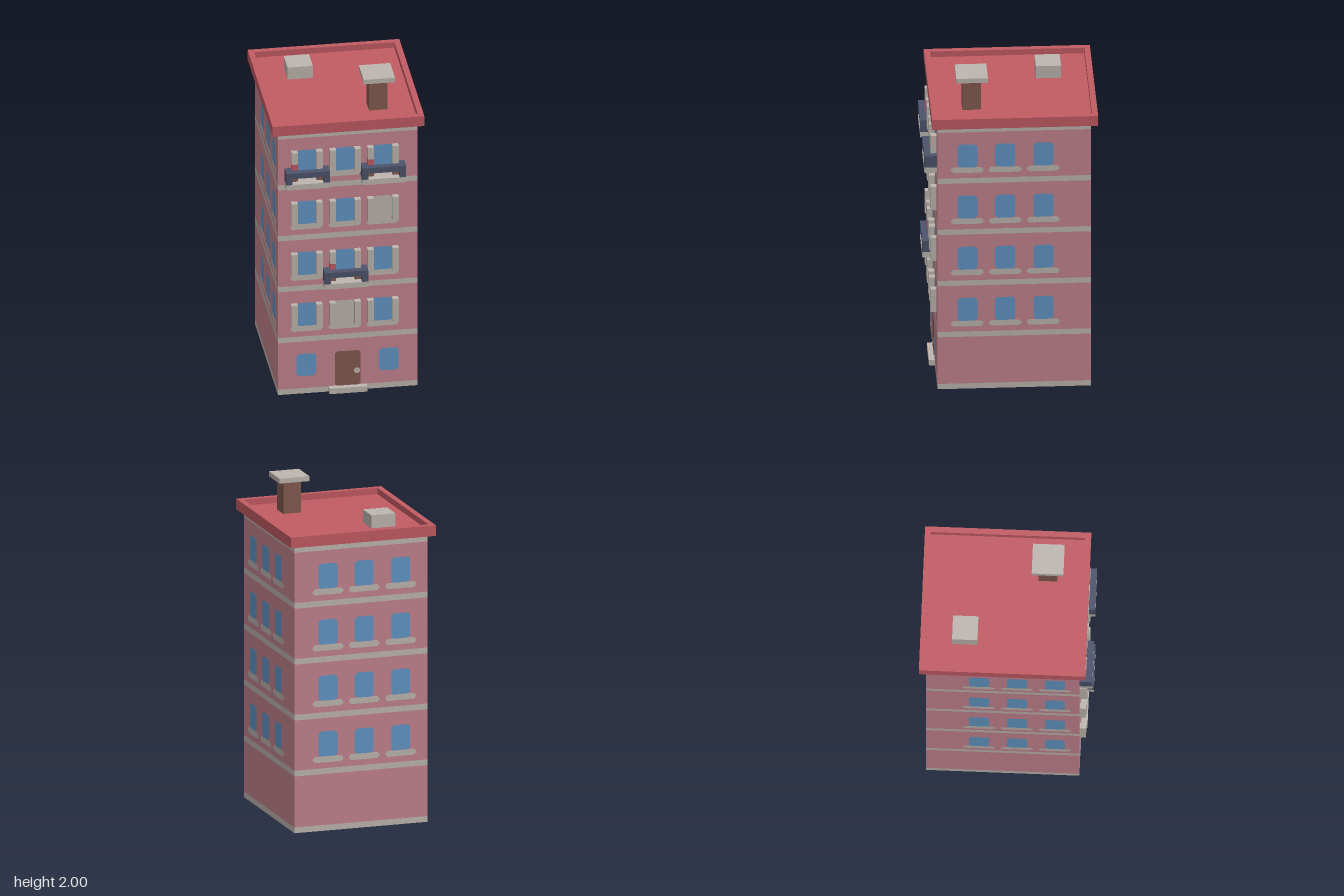
import * as THREE from 'three';

const mat = (name, color) => {
  const m = new THREE.MeshStandardMaterial({ color });
  m.name = name;
  return m;
};

export function createModel() {
  const pink = mat('pinkWall', 0xc4838f), stone = mat('stone', 0xbeb6b0), red = mat('roofRed', 0xc25b63);
  const blue = mat('windowBlue', 0x6296c6), brown = mat('brown', 0x825a4e), navy = mat('railNavy', 0x4c546c);
  const model = new THREE.Group();
  model.name = 'apartmentBuilding';

  // Box from its minimum and maximum corners
  function box(name, material, x0, x1, y0, y1, z0, z1, parent = model) {
    const mesh = new THREE.Mesh(new THREE.BoxGeometry(x1 - x0, y1 - y0, z1 - z0), material);
    mesh.position.set((x0 + x1) / 2, (y0 + y1) / 2, (z0 + z1) / 2);
    mesh.name = name;
    parent.add(mesh);
    return mesh;
  }

  function rectPath(path, x0, x1, y0, y1) {
    path.moveTo(x0, y0);
    path.lineTo(x1, y0);
    path.lineTo(x1, y1);
    path.lineTo(x0, y1);
    path.closePath();
    return path;
  }

  // Flat rectangle with clipped corners, centred on x = 0
  function plate(w, y0, y1, c) {
    const h = w / 2, s = new THREE.Shape();
    s.moveTo(-h + c, y0);
    s.lineTo(h - c, y0);
    s.lineTo(h, y0 + c);
    s.lineTo(h, y1 - c);
    s.lineTo(h - c, y1);
    s.lineTo(-h + c, y1);
    s.lineTo(-h, y1 - c);
    s.lineTo(-h, y0 + c);
    s.closePath();
    return new THREE.ShapeGeometry(s);
  }

  function paint(name, material, geometry, x, z, turn = 0) {
    const mesh = new THREE.Mesh(geometry, material);
    mesh.position.set(x, 0, z);
    mesh.rotation.y = turn;
    mesh.name = name;
    model.add(mesh);
  }

  const X = 0.415, FRONT = 0.435, BACK = -0.47, V = 0.0375, LIFT = 0.003;

  // Walls with flush stone bands between storeys
  const bands = [[0, 0.035], [0.345, 0.38], [0.685, 0.72], [1.025, 1.06], [1.365, 1.4], [1.705, 1.745]];
  bands.forEach(([y0, y1], i) => {
    box('stoneBand', stone, -X, X, y0, y1, BACK, FRONT);
    if (i < 5) box('wall', pink, -X, X, y1, bands[i + 1][0], BACK, FRONT);
  });

  // Roof slab with raised rim
  box('roofSlab', red, -0.452, 0.452, 1.745, 1.773, -0.51, 0.47);
  const rim = rectPath(new THREE.Shape(), -0.452, 0.452, -0.47, 0.51);
  rim.holes.push(rectPath(new THREE.Path(), -0.417, 0.417, -0.434, 0.475));
  const rimMesh = new THREE.Mesh(new THREE.ExtrudeGeometry(rim, { depth: 0.037, bevelEnabled: false }), red);
  rimMesh.rotation.x = -Math.PI / 2;
  rimMesh.position.y = 1.773;
  rimMesh.name = 'roofRim';
  model.add(rimMesh);

  // Chimney and roof hatch
  box('chimney', brown, 0.151, 0.262, 1.773, 1.97, 0.172, 0.281);
  box('chimneyCap', stone, 0.113, 0.3, 1.97, 2, 0.132, 0.319);
  box('roofHatch', stone, -0.265, -0.115, 1.773, 1.853, -0.322, -0.173);

  // Ground floor: door, knob, step and two windows
  paint('door', brown, plate(0.15, 0.035, 0.265, 0.012), 0, FRONT + LIFT);
  paint('doorKnob', stone, plate(0.036, 0.113, 0.15, 0.01), 0.056, FRONT + 2 * LIFT);
  box('doorStep', stone, -0.113, 0.113, 0, 0.036, FRONT, 0.47);
  for (const x of [-0.247, 0.245]) paint('window', blue, plate(0.115, 0.117, 0.265, 0.014), x, FRONT + LIFT);

  // Upper floors
  const columns = [-0.246, -0.018, 0.207];
  const balconies = ['1,1', '3,0', '3,2'], closed = ['0,1', '2,2'];

  function balcony(x, y) {
    const g = new THREE.Group();
    g.name = 'balcony';
    model.add(g);
    const w = 0.13, outer = 0.509;
    box('balconyFloor', stone, x - w, x + w, y, y + 0.035, FRONT, outer, g);
    box('frontRail', navy, x - w, x + w, y + 0.074, y + 0.11, 0.471, outer, g);
    for (const s of [-1, 1]) {
      const a = x + s * w, b = x + s * (w - V);
      box('sideRail', navy, Math.min(a, b), Math.max(a, b), y + 0.035, y + 0.074, FRONT, outer, g);
      box('sideRailTop', navy, Math.min(a, b), Math.max(a, b), y + 0.074, y + 0.11, FRONT, 0.471, g);
      const p = x + s * 0.074;
      box('flowerPot', brown, p - 0.0185, p + 0.0185, y + 0.035, y + 0.073, FRONT, 0.471, g);
    }
    box('flowers', red, x - 0.0925, x - 0.0555, y + 0.073, y + 0.148, FRONT, 0.471, g);
  }

  for (let floor = 0; floor < 4; floor++) {
    const y = 0.38 + floor * 0.34;
    const glass = plate(0.118, y + 0.072, y + 0.225, 0.014);
    const sill = plate(0.192, y + 0.036, y + 0.073, 0.014);
    const opening = (x, z, turn, material = blue) => {
      paint('window', material, glass, x, z, turn);
      paint('windowSill', stone, sill, x, z, turn);
    };
    columns.forEach((x, col) => {
      const key = floor + ',' + col, hasBalcony = balconies.includes(key);
      opening(x, FRONT + LIFT, 0, closed.includes(key) ? stone : blue);
      opening(x, BACK - LIFT, Math.PI);
      for (const s of [-1, 1]) {
        const low = hasBalcony && s < 0 ? 0.148 : 0.073, p = x + s * 0.074;
        box('shutter', stone, p - 0.0185, p + 0.0185, y + low, y + 0.225, FRONT, 0.471);
      }
      if (hasBalcony) balcony(x, y);
    });
    for (const z of [0.26, 0.037, -0.188]) {
      opening(X + LIFT, z, Math.PI / 2);
      opening(-X - LIFT, z + 0.03, -Math.PI / 2);
    }
  }
  return model;
}
